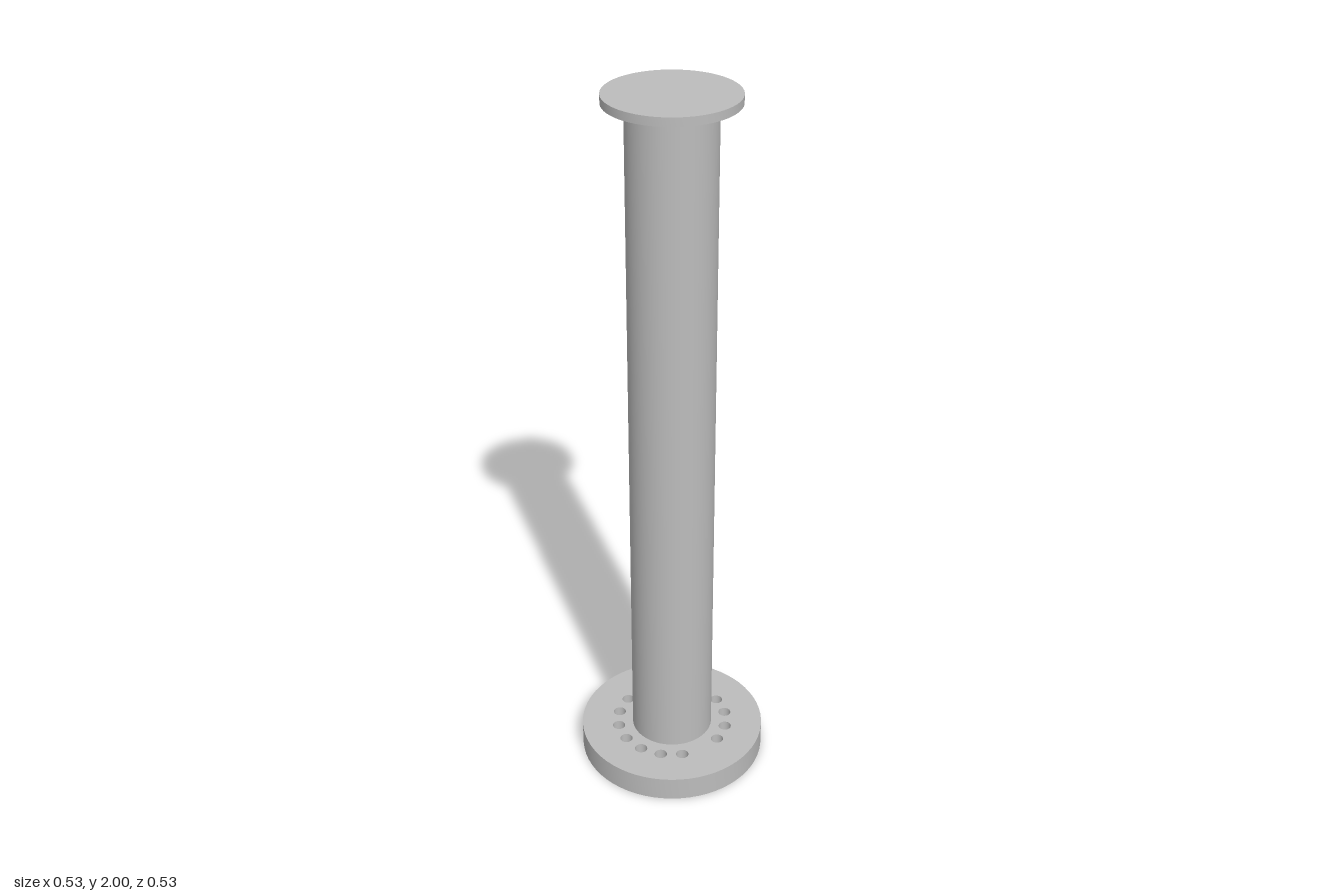
import * as THREE from 'three';
import { toCreasedNormals } from 'three/addons/utils/BufferGeometryUtils.js';

const SEG = 64;
const BASE_R = 0.266, BASE_TOP = 0.0715;
const RECESS_R = 0.18, LEDGE_Y = 0.03;
const POLE_R = 0.1165, BORE_R = 0.06;
const CAP_R = 0.173, CAP_Y = 1.977, TOP = 2;
const HOLE_R = 0.018, HOLE_RING = 0.16;

export function createModel() {
  const group = new THREE.Group();
  group.name = 'flangedColumn';
  const steel = new THREE.MeshStandardMaterial({ color: 0xbcbcbc });
  steel.name = 'steel grey';

  const add = (name, geometry) => {
    const mesh = new THREE.Mesh(geometry, steel);
    mesh.name = name;
    group.add(mesh);
    return mesh;
  };

  // Turned part with crisp edges
  const turned = (name, profile) => {
    const points = profile.map(([r, y]) => new THREE.Vector2(r, y));
    return add(name, toCreasedNormals(new THREE.LatheGeometry(points, SEG), 0.6));
  };

  // Bolt circle of sixteen places, with the front and back ones left out
  const holes = [];
  for (let i = 0; i < 16; i++) {
    if (i % 8 === 4) continue;
    const a = (i * Math.PI) / 8;
    holes.push([HOLE_RING * Math.cos(a), HOLE_RING * Math.sin(a)]);
  }

  // Flat ring pierced by the bolt holes, facing up (1) or down (-1)
  const piercedRing = (name, outer, inner, y, facing) => {
    const shape = new THREE.Shape().absarc(0, 0, outer, 0, Math.PI * 2);
    for (const [x, z, r] of [[0, 0, inner], ...holes.map(([x, z]) => [x, z, HOLE_R])]) {
      shape.holes.push(new THREE.Path().absarc(x, z, r, 0, Math.PI * 2, true));
    }
    const geometry = new THREE.ShapeGeometry(shape, SEG / 2);
    geometry.rotateX((-facing * Math.PI) / 2).translate(0, y, 0);
    return add(name, geometry);
  };

  // Base flange: recessed underside, rim and drilled faces
  turned('baseRim', [[RECESS_R, LEDGE_Y], [RECESS_R, 0], [BASE_R, 0], [BASE_R, BASE_TOP]]);
  piercedRing('baseTop', BASE_R, POLE_R, BASE_TOP, 1);
  piercedRing('recessFloor', RECESS_R, BORE_R, LEDGE_Y, -1);

  // Inside walls of the bolt holes
  const depth = BASE_TOP - LEDGE_Y;
  const wall = new THREE.LatheGeometry(
    [new THREE.Vector2(HOLE_R, depth), new THREE.Vector2(HOLE_R, 0)], 24);
  for (const [x, z] of holes) add('boltHole', wall).position.set(x, LEDGE_Y, z);

  // Column with its cap plate, and the blind bore seen from below
  turned('columnTube', [[POLE_R, BASE_TOP], [POLE_R, CAP_Y]]);
  turned('capPlate', [[POLE_R, CAP_Y], [CAP_R, CAP_Y], [CAP_R, TOP], [0, TOP]]);
  turned('centreBore', [[0, CAP_Y], [BORE_R, CAP_Y], [BORE_R, LEDGE_Y]]);

  return group;
}
